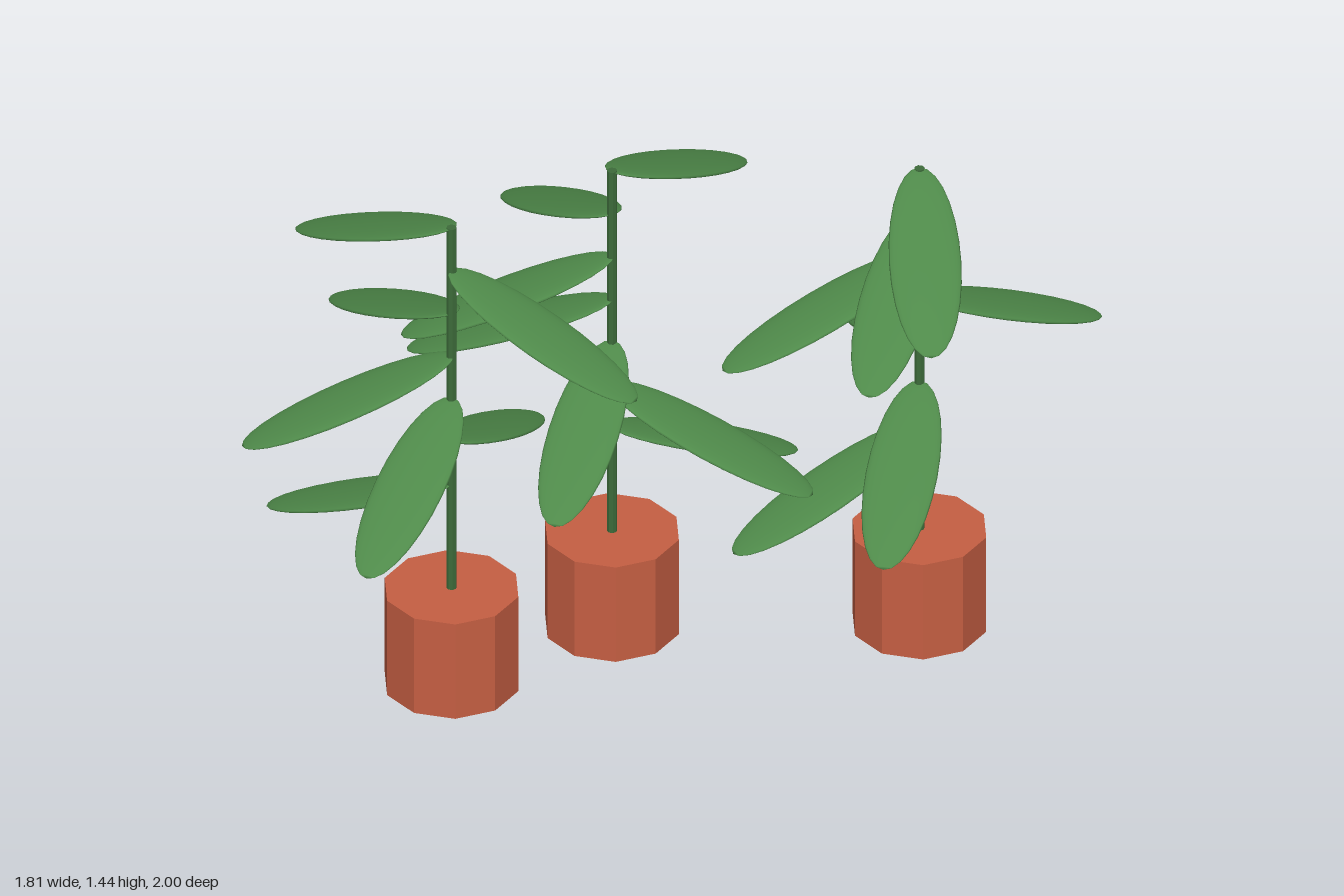
import * as THREE from 'three';

const mat = (name, color, flatShading = false) => {
  const m = new THREE.MeshStandardMaterial({ color, flatShading });
  m.name = name;
  return m;
};

const POT_H = 0.3, STEM_TOP = 1.445, LEAF_STEP = 0.1355, DROOP = 0.4;

// Stem position and leaf headings in degrees (0 = +x, 90 = +z), top leaf first
const PLANTS = [
  { x: -0.338, z: 0.443, leaves: [191, -4, 204, 140, 81, 260, 177] },
  { x: -0.13, z: -0.027, leaves: [275, 208, 146, 161, 73, -15, 298] },
  { x: 0.555, z: -0.483, leaves: [54, 71, 126, 296, 221, 67, 119] },
];

export function createModel() {
  const terracotta = mat('terracotta', 0xc65f43, true);
  const stemGreen = mat('stemGreen', 0x3d6b3a, true);
  const leafGreen = mat('leafGreen', 0x4f8a4a);

  const potGeo = new THREE.CylinderGeometry(0.185, 0.185, POT_H, 10);
  potGeo.translate(0, POT_H / 2, 0);

  const stemLen = STEM_TOP - POT_H + 0.02;
  const stemGeo = new THREE.CylinderGeometry(0.014, 0.014, stemLen, 8);
  stemGeo.translate(0, STEM_TOP - stemLen / 2, 0);

  // Flat ellipsoid blade running outwards from the stem along +x, drooping at the tip
  const leafGeo = new THREE.SphereGeometry(1, 24, 14);
  leafGeo.rotateZ(-Math.PI / 2);
  leafGeo.scale(0.31, 0.015, 0.097);
  leafGeo.translate(0.304, 0, 0);
  leafGeo.rotateZ(-DROOP);

  const model = new THREE.Group();
  model.name = 'pottedPlants';

  PLANTS.forEach(({ x, z, leaves }) => {
    const plant = new THREE.Group();
    plant.name = 'plant';
    plant.position.set(x, 0, z);

    const add = (name, geo, material) => {
      const mesh = new THREE.Mesh(geo, material);
      mesh.name = name;
      plant.add(mesh);
      return mesh;
    };

    add('pot', potGeo, terracotta);
    add('stem', stemGeo, stemGreen);
    leaves.forEach((deg, i) => {
      const leaf = add('leaf', leafGeo, leafGreen);
      leaf.position.y = STEM_TOP - 0.004 - i * LEAF_STEP;
      leaf.rotation.y = -THREE.MathUtils.degToRad(deg);
    });
    model.add(plant);
  });

  return model;
}
